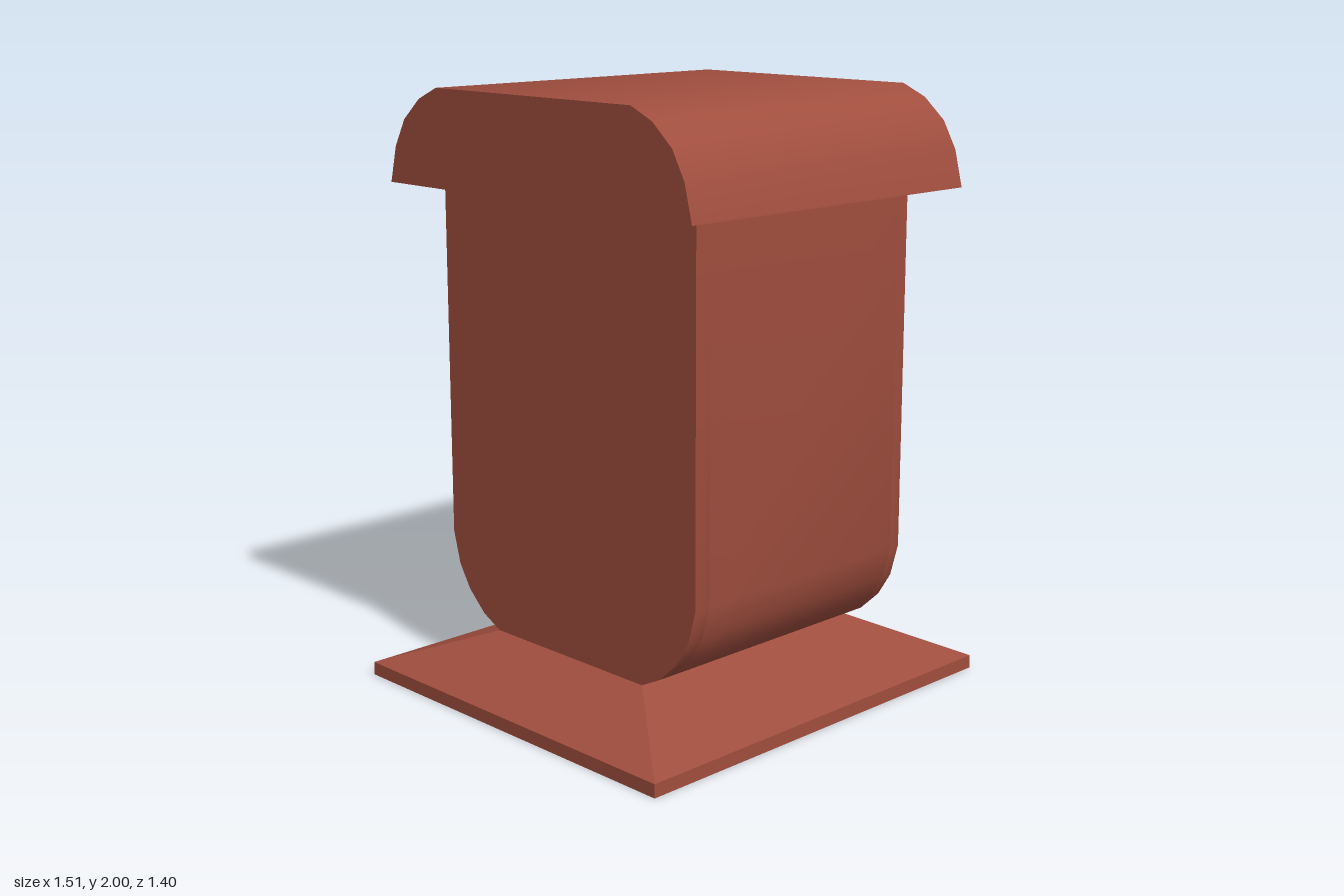
import * as THREE from 'three';
import { toCreasedNormals } from 'three/addons/utils/BufferGeometryUtils.js';

const mat = (color, flatShading = false) =>
  new THREE.MeshStandardMaterial({ color, flatShading, side: THREE.DoubleSide });

export function createModel() {
  const model = new THREE.Group();
  const clay = mat(0xa04e3e), clayFlat = mat(0xa04e3e, true), teal = mat(0x4ad6b6);
  const wood = mat(0x7a4616), vinyl = mat(0x0c0c0c), blue = mat(0x2030c0);

  const add = (name, geometry, material, parent = model) => {
    const mesh = new THREE.Mesh(geometry, material);
    mesh.name = name;
    parent.add(mesh);
    return mesh;
  };
  const box = (name, size, pos, material, parent) => {
    const mesh = add(name, new THREE.BoxGeometry(...size), material, parent);
    mesh.position.set(...pos);
    return mesh;
  };
  // Points are (z, y); the outline is extruded along x from x0 to x1
  const vectors = (pts) => pts.map(([z, y]) => new THREE.Vector2(z, y));
  const mirrored = (pts) => [...pts, ...pts.map(([z, y]) => [-z, y]).reverse()];
  const slab = (outline, holes, x0, x1) => {
    const shape = new THREE.Shape(vectors(outline));
    shape.holes = holes.map((h) => new THREE.Path(vectors(h)));
    const g = new THREE.ExtrudeGeometry(shape, { depth: x1 - x0, bevelEnabled: false });
    g.translate(0, 0, x0).rotateY(Math.PI / 2);
    return toCreasedNormals(g, 0.6);
  };
  const ellipse = (rz, ry, from, to) => {
    const pts = [];
    for (let i = from; i <= to; i++) {
      const a = (i / 8) * Math.PI;
      pts.push([rz * Math.cos(a), 0.93 + ry * Math.sin(a)]);
    }
    return pts;
  };
  // Lathe turned so that its axis runs along +x
  const latheX = (pts, sides) =>
    new THREE.LatheGeometry(vectors(pts), sides).rotateZ(-Math.PI / 2);

  // Base: flat plinth with a tapered upper part
  box('basePlinth', [1.51, 0.045, 1.386], [0, 0.0225, 0], clay);
  const taper = new THREE.BoxGeometry(1.51, 0.135, 1.386);
  const p = taper.attributes.position;
  for (let i = 0; i < p.count; i++) {
    if (p.getY(i) > 0) {
      p.setX(i, Math.sign(p.getX(i)) * 0.48);
      p.setZ(i, Math.sign(p.getZ(i)) * 0.35);
    }
  }
  taper.computeVertexNormals();
  add('baseTaper', taper, clay).position.y = 0.1125;

  // Cabinet: closed back, hollow middle, front frame with panel opening
  const outline = mirrored([
    [0.35, 0.18], [0.43, 0.22], [0.505, 0.29], [0.555, 0.37], [0.585, 0.48], [0.585, 1.69],
  ]);
  const niche = ellipse(0.43, 0.555, 0, 15);
  const panel = [
    [-0.545, 0.985], [-0.545, 1.63], [0.545, 1.63], [0.545, 0.985], [0.463, 0.985],
    ...ellipse(0.47, 0.61, 1, 7), [-0.463, 0.985],
  ];
  add('cabinetBack', slab(outline, [], -0.48, -0.42), clay);
  add('cabinetBody', slab(outline, [niche], -0.42, 0.44), clay);
  add('cabinetFrontFrame', slab(outline, [niche, panel], 0.44, 0.48), clay);
  add('inlayPanel', slab(panel, [], 0.43, 0.442), teal);

  // Roof
  add('roof', slab(mirrored([
    [0.70, 1.68], [0.67, 1.80], [0.62, 1.89], [0.54, 1.96], [0.45, 2.0],
  ]), [], -0.612, 0.612), clay);

  // Diamond ornament on the niche's back wall
  const diamond = add('diamondOrnament', latheX([
    [0.15, 0], [0.055, 0.07], [0.028, 0.035], [0, 0.06],
  ], 4), clayFlat);
  diamond.position.set(-0.42, 1.115, 0);
  diamond.scale.y = 1.17;

  // Record player
  const player = new THREE.Group();
  player.name = 'recordPlayer';
  player.position.x = 0.16;
  model.add(player);
  box('playerBox', [0.5, 0.32, 0.5], [0, 0.55, 0], wood, player);
  box('playerTopMoulding', [0.585, 0.02, 0.585], [0, 0.71, 0], wood, player);
  box('playerTop', [0.63, 0.014, 0.63], [0, 0.725, 0], wood, player);

  const disc = (name, r, h, y, material) => {
    add(name, new THREE.CylinderGeometry(r, r, h, 32), material, player).position.set(0, y, -0.005);
  };
  disc('spindle', 0.02, 0.04, 0.745, vinyl);
  disc('record', 0.27, 0.008, 0.755, vinyl);
  disc('recordLabel', 0.08, 0.003, 0.7605, blue);

  // Speaker on the front of the player
  const speaker = add('speaker', toCreasedNormals(latheX([
    [0.08, 0], [0.085, 0.025], [0.145, 0.06], [0.145, 0.073], [0.122, 0.073],
    [0.105, 0.05], [0.05, 0.035], [0.045, 0.045], [0, 0.055],
  ], 32), 0.5), vinyl, player);
  speaker.position.set(0.25, 0.548, 0);

  // Tone arm
  box('toneArmPost', [0.08, 0.11, 0.08], [-0.21, 0.785, -0.125], wood, player);
  const arm = box('toneArm', [0.27, 0.035, 0.035], [-0.085, 0.828, -0.16], wood, player);
  arm.rotation.set(0, 0.36, -0.08);
  box('toneArmHead', [0.04, 0.03, 0.045], [0.035, 0.818, -0.2], wood, player);
  box('needle', [0.006, 0.05, 0.006], [0.035, 0.784, -0.212], vinyl, player);

  return model;
}
